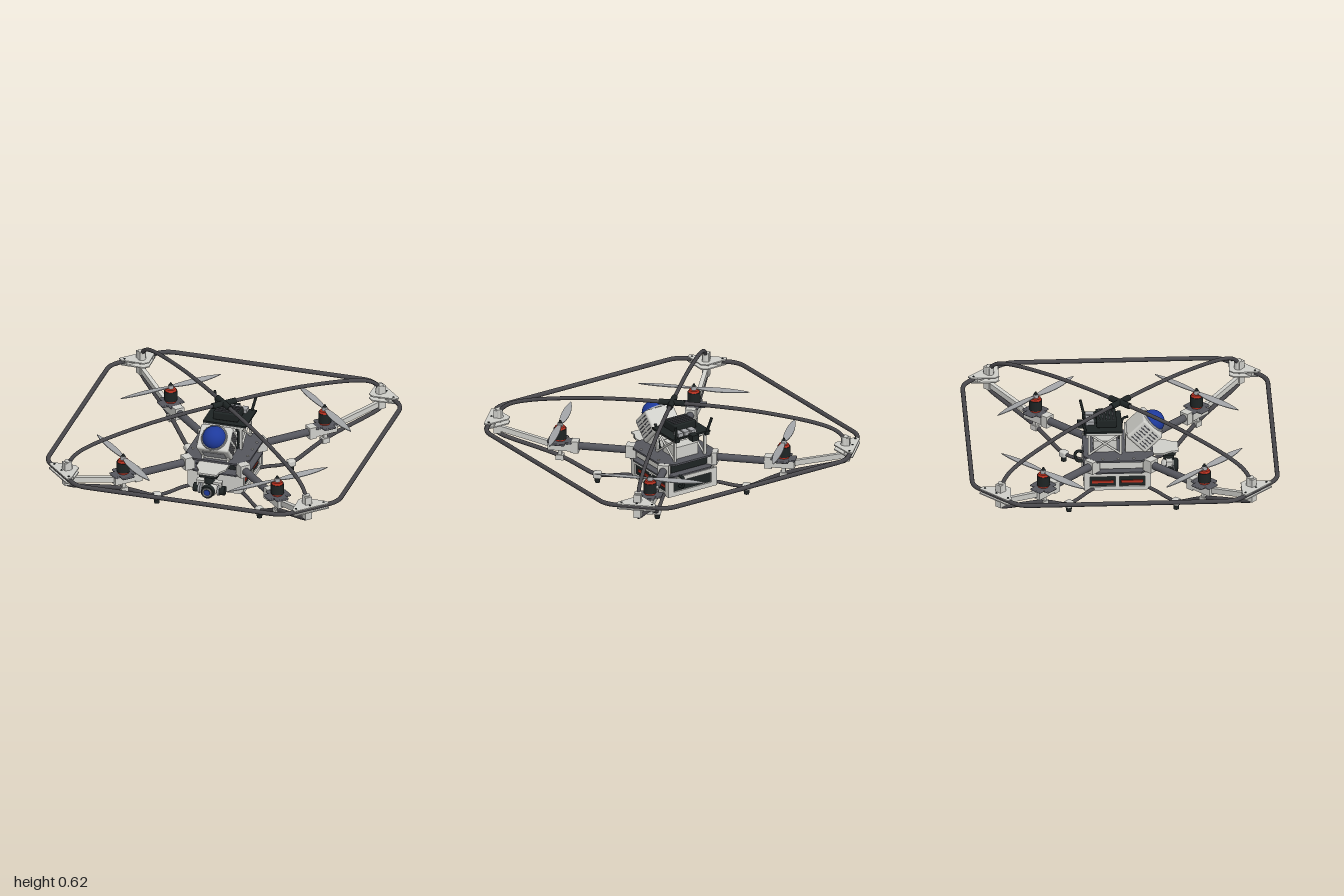
import * as THREE from 'three';
import { RoundedBoxGeometry } from 'three/addons/geometries/RoundedBoxGeometry.js';

const mat = (name, color) => new THREE.MeshStandardMaterial({ name, color });
const light = mat('lightGrey', 0xcfcfca);
const tubeGrey = mat('tubeGrey', 0x48474b);
const plateGrey = mat('plateGrey', 0x55565d);
const black = mat('black', 0x1e2424);
const blue = mat('blue', 0x1e3a9c);
const red = mat('red', 0xb5301f);
const silver = mat('silver', 0xa3a5a8);
silver.side = THREE.DoubleSide;

const V = (x, y, z = 0) => new THREE.Vector3(x, y, z);
function put(parent, name, geo, material, x = 0, y = 0, z = 0) {
  const m = new THREE.Mesh(geo, material);
  m.name = name;
  m.position.set(x, y, z);
  parent.add(m);
  return m;
}
const box = (p, name, m, w, h, d, x, y, z) => put(p, name, new THREE.BoxGeometry(w, h, d), m, x, y, z);
const cyl = (p, name, m, r1, r2, h, x, y, z, n = 24) => put(p, name, new THREE.CylinderGeometry(r1, r2, h, n), m, x, y, z);
// Straight round bar between two points
function rod(p, name, m, a, b, r) {
  const c = cyl(p, name, m, r, r, a.distanceTo(b), 0, 0, 0, 14);
  c.position.copy(a).add(b).multiplyScalar(0.5);
  c.quaternion.setFromUnitVectors(V(0, 1), b.clone().sub(a).normalize());
  return c;
}
function tube(p, name, m, pts, r, n = 40) {
  return put(p, name, new THREE.TubeGeometry(new THREE.CatmullRomCurve3(pts, false, 'centripetal'), n, r, 10), m);
}
const poly = pts => new THREE.Shape(pts.map(([x, y]) => new THREE.Vector2(x, y)));
const extrude = (shape, depth) => new THREE.ExtrudeGeometry(shape, { depth, bevelEnabled: false, curveSegments: 16 });
// Flat plate lying in the xz plane, growing upwards
const slab = (pts, h) => extrude(poly(pts), h).rotateX(-Math.PI / 2);
// Rectangular panel with rectangular holes [x, y, w, h]
function panel(w, h, t, holes) {
  const rect = (x, y, a, b) => [[x - a / 2, y - b / 2], [x + a / 2, y - b / 2], [x + a / 2, y + b / 2], [x - a / 2, y + b / 2]];
  const s = poly(rect(0, 0, w, h));
  holes.forEach(q => s.holes.push(poly(rect(...q))));
  return extrude(s, t).translate(0, 0, -t / 2);
}

// Square guard ring with cut corners
function guardRing(model) {
  const path = new THREE.CurvePath(), y = 0.385, e = 0.985;
  const quarter = [[-0.63, e], [0.63, e], [0.695, e], [0.74, 0.94], [0.94, 0.74], [e, 0.695], [e, 0.63]];
  for (let k = 0; k < 4; k++) {
    const q = quarter.map(([x, z]) => V(x, y, z).applyAxisAngle(V(0, 1), k * Math.PI / 2));
    for (const v of q) v.y = y;
    path.add(new THREE.LineCurve3(q[0], q[1]));
    path.add(new THREE.QuadraticBezierCurve3(q[1], q[2], q[3]));
    path.add(new THREE.LineCurve3(q[3], q[4]));
    path.add(new THREE.QuadraticBezierCurve3(q[4], q[5], q[6]));
  }
  put(model, 'guardRing', new THREE.TubeGeometry(path, 240, 0.015, 10, true), tubeGrey);
}

function propeller(parent, x, y) {
  const g = new THREE.Group();
  g.name = 'propeller';
  g.position.set(x, y, 0);
  parent.add(g);
  const s = new THREE.Shape();
  s.moveTo(0.02, -0.012);
  s.bezierCurveTo(0.12, -0.04, 0.26, -0.036, 0.365, 0);
  s.bezierCurveTo(0.28, 0.026, 0.14, 0.032, 0.02, 0.012);
  for (let k = 0; k < 2; k++) {
    const blade = put(g, 'blade', extrude(s, 0.005).rotateX(-Math.PI / 2 + 0.12), silver);
    blade.rotation.y = Math.PI / 2 + k * Math.PI;
  }
  cyl(g, 'propellerHub', silver, 0.016, 0.02, 0.022, 0, 0.004, 0);
  cyl(g, 'hubNut', black, 0.006, 0.012, 0.018, 0, 0.022, 0, 12);
}

// One diagonal quarter; local +x points out towards the corner
function armAssembly(k) {
  const g = new THREE.Group();
  g.name = 'arm';
  g.rotation.y = Math.PI / 4 + k * Math.PI / 2;
  rod(g, 'armTube', plateGrey, V(0.1, 0.245), V(0.68, 0.245), 0.025);
  box(g, 'bodyClamp', light, 0.07, 0.085, 0.07, 0.265, 0.243, 0);
  // Motor mount and motor
  box(g, 'armClamp', light, 0.05, 0.08, 0.065, 0.635, 0.243, 0);
  box(g, 'motorMount', light, 0.15, 0.05, 0.07, 0.735, 0.24, 0);
  for (const r of [0, Math.PI / 2]) {
    const b = put(g, 'motorBase', new RoundedBoxGeometry(0.16, 0.014, 0.085, 2, 0.006), plateGrey, 0.735, 0.272, 0);
    b.rotation.y = r;
  }
  cyl(g, 'motorLowerRing', red, 0.035, 0.035, 0.014, 0.735, 0.285, 0);
  cyl(g, 'motor', black, 0.042, 0.042, 0.068, 0.735, 0.325, 0);
  cyl(g, 'motorUpperRing', red, 0.032, 0.038, 0.014, 0.735, 0.366, 0);
  propeller(g, 0.735, 0.383);
  // Strut from mount to leg tube
  box(g, 'legStrut', light, 0.025, 0.07, 0.03, 0.735, 0.19, 0);
  box(g, 'legClamp', light, 0.05, 0.035, 0.045, 0.735, 0.16, 0);
  // Outer bar and corner bracket
  const bar = box(g, 'outerBar', light, 0.36, 0.036, 0.028, 0.965, 0.287, 0);
  bar.rotation.z = 0.24;
  box(g, 'cornerPost', light, 0.05, 0.16, 0.045, 1.145, 0.375, 0);
  cyl(g, 'archSocket', light, 0.024, 0.026, 0.06, 1.135, 0.432, 0);
  const outline = [[1.07, -0.02], [1.18, -0.125], [1.212, -0.125], [1.212, 0.125], [1.18, 0.125], [1.07, 0.02]];
  for (const y of [0.366, 0.396]) put(g, 'cornerPlate', slab(outline, 0.008), light, 0, y, 0);
  box(g, 'cornerSpacer', light, 0.03, 0.024, 0.2, 1.165, 0.385, 0);
  for (const z of [-0.1, 0, 0.1]) cyl(g, 'cornerBolt', black, 0.007, 0.007, 0.006, 1.185, 0.405, z, 8);
  // Leg tube, foot and inner stay
  tube(g, 'legTube', tubeGrey, [V(1.16, 0.31), V(1.13, 0.287), V(0.735, 0.165), V(0.53, 0.065), V(0.49, 0.052)], 0.014);
  tube(g, 'innerStay', tubeGrey, [V(0.49, 0.05), V(0.4, 0.055), V(0.31, 0.068), V(0.23, 0.07)], 0.012, 20);
  put(g, 'footJoint', new RoundedBoxGeometry(0.055, 0.045, 0.05, 2, 0.012), light, 0.49, 0.052, 0);
  cyl(g, 'footPad', black, 0.02, 0.017, 0.034, 0.49, 0.017, 0, 16);
  // Half of the overhead arch
  tube(g, 'archTube', tubeGrey,
    [V(1.135, 0.41), V(1.12, 0.46), V(1.07, 0.5), V(0.95, 0.537), V(0.6, 0.583), V(0.3, 0.599), V(0, 0.603)], 0.013, 60);
  rod(g, 'archHub', black, V(0, 0.602), V(0.085, 0.602), 0.02);
  return g;
}

function body(model) {
  const g = new THREE.Group();
  g.name = 'body';
  model.add(g);
  const zc = -0.025;
  // Battery bay: panels with windows around dark packs
  box(g, 'batteryPack', black, 0.33, 0.1, 0.4, 0, 0.125, zc);
  for (const s of [-1, 1]) {
    const side = put(g, 'sidePanel', panel(0.43, 0.125, 0.012, [[-0.095, -0.003, 0.165, 0.072], [0.095, -0.003, 0.165, 0.072]]), light, s * 0.183, 0.127, zc);
    side.rotation.y = Math.PI / 2;
    for (const z of [-0.095, 0.095]) box(g, 'batteryStripe', red, 0.008, 0.016, 0.14, s * 0.168, 0.113, zc + z);
    box(g, 'deckSide', light, 0.012, 0.055, 0.38, s * 0.17, 0.238, zc);
  }
  put(g, 'frontPanel', panel(0.366, 0.125, 0.012, []), light, 0, 0.127, 0.185);
  put(g, 'backPanel', panel(0.366, 0.125, 0.012, [[0, 0, 0.29, 0.07]]), light, 0, 0.127, -0.234);
  const bottom = put(g, 'bottomPanel', panel(0.378, 0.43, 0.012, [[0, -0.1, 0.29, 0.16], [0, 0.1, 0.29, 0.16]]), light, 0, 0.068, zc);
  bottom.rotation.x = Math.PI / 2;
  // Central deck
  const deck = [[-0.215, -0.13], [-0.14, -0.21], [0.14, -0.21], [0.215, -0.13], [0.215, 0.16], [0.14, 0.24], [-0.14, 0.24], [-0.215, 0.16]];
  put(g, 'lowerDeck', slab(deck, 0.01), plateGrey, 0, 0.193, 0);
  put(g, 'upperDeck', slab(deck, 0.012), plateGrey, 0, 0.274, 0);
  box(g, 'deckElectronics', black, 0.28, 0.06, 0.34, 0, 0.238, zc);
  for (const s of [-1, 1]) for (const z of [-0.12, -0.02, 0.08])
    cyl(g, 'deckBolt', light, 0.008, 0.008, 0.006, s * 0.185, 0.288, z, 8);
  // Cable loop at the back
  tube(g, 'rearCable', black, [V(0.1, 0.195, -0.23), V(0.1, 0.195, -0.275), V(0.1, 0.17, -0.285), V(0.1, 0.13, -0.27), V(0.1, 0.125, -0.235)], 0.01, 24);
}

function electronicsTower(model) {
  const g = new THREE.Group();
  g.name = 'electronicsTower';
  model.add(g);
  const y0 = 0.287, y1 = 0.435, zf = 0, zb = -0.205;
  for (const s of [-1, 1]) {
    const x = s * 0.115;
    for (const z of [zf, zb]) box(g, 'towerPost', light, 0.016, y1 - y0, 0.016, x, (y0 + y1) / 2, z);
    rod(g, 'towerBrace', light, V(x, y0, zf), V(x, y1, zb), 0.007);
    rod(g, 'towerBrace', light, V(x, y1, zf), V(x, y0, zb), 0.007);
    rod(g, 'antenna', black, V(s * 0.115, 0.44, -0.225), V(s * 0.14, 0.55, -0.25), 0.009);
    box(g, 'antennaBase', black, 0.03, 0.025, 0.04, s * 0.115, 0.445, -0.22);
  }
  box(g, 'lowerModule', light, 0.17, 0.08, 0.15, 0, 0.327, -0.1);
  box(g, 'towerShelf', light, 0.27, 0.016, 0.235, 0, 0.44, -0.105);
  box(g, 'controlBoard', black, 0.29, 0.012, 0.245, 0.005, 0.454, -0.112);
  put(g, 'controlUnit', new RoundedBoxGeometry(0.17, 0.055, 0.13, 2, 0.008), black, 0, 0.488, -0.09);
  for (let i = 0; i < 5; i++) box(g, 'coolingFin', plateGrey, 0.15, 0.006, 0.008, 0, 0.518, -0.135 + i * 0.022);
  for (let i = 0; i < 3; i++) box(g, 'connector', silver, 0.04, 0.025, 0.055, -0.02 + i * 0.05, 0.472, -0.195);
  box(g, 'rearSocket', black, 0.05, 0.04, 0.05, 0, 0.45, -0.25);
}

function sensorPod(model) {
  const g = new THREE.Group();
  g.name = 'sensorPod';
  g.position.set(0, 0.4, 0.155);
  g.rotation.x = Math.PI / 4;
  model.add(g);
  put(g, 'podHousing', new RoundedBoxGeometry(0.215, 0.165, 0.172, 2, 0.014), light);
  cyl(g, 'domeCollar', silver, 0.083, 0.088, 0.012, 0, 0.086, 0, 40);
  put(g, 'blueDome', new THREE.SphereGeometry(0.078, 40, 24), blue, 0, 0.078, 0);
  box(g, 'frontCover', silver, 0.15, 0.09, 0.006, 0, -0.01, 0.087);
  // Cooling slots on both sides
  for (const s of [-1, 1]) for (let i = 0; i < 6; i++) for (const z of [-0.036, 0.036])
    box(g, 'coolingSlot', plateGrey, 0.004, 0.007, 0.055, s * 0.108, -0.055 + i * 0.022, z);
  for (const s of [-1, 1])
    put(model, 'podBracket', extrude(poly([[-0.2, 0], [-0.03, 0], [-0.03, 0.12], [-0.1, 0.14]]), 0.012).rotateY(Math.PI / 2), light, s * 0.085 - 0.006, 0.286, 0);
  box(model, 'podBase', light, 0.18, 0.05, 0.14, 0, 0.31, 0.11);
  tube(model, 'podCable', black, [V(0.09, 0.45, 0.06), V(0.1, 0.43, 0.025), V(0.1, 0.36, 0.01), V(0.09, 0.29, 0.0)], 0.008, 24);
}

function gimbalCamera(model) {
  const shelf = [[-0.1, -0.18], [0.1, -0.18], [0.1, -0.28], [0.07, -0.33], [0.065, -0.375], [-0.065, -0.375], [-0.07, -0.33], [-0.1, -0.28]];
  put(model, 'cameraShelf', slab(shelf.reverse(), 0.012), light, 0, 0.262, 0);
  const g = new THREE.Group();
  g.name = 'gimbalCamera';
  g.position.set(0, 0.138, 0.315);
  model.add(g);
  box(g, 'gimbalMount', black, 0.12, 0.022, 0.08, 0, 0.108, 0);
  cyl(g, 'gimbalPivot', black, 0.03, 0.035, 0.05, 0, 0.075, 0);
  box(g, 'gimbalYoke', light, 0.17, 0.016, 0.04, 0, 0.055, 0);
  put(g, 'cameraBall', new THREE.SphereGeometry(0.052, 28, 20), light);
  for (const s of [-1, 1]) {
    box(g, 'yokeArm', light, 0.014, 0.07, 0.035, s * 0.075, 0.025, 0);
    cyl(g, 'tiltMotor', black, 0.03, 0.03, 0.035, s * 0.088, 0, 0).rotation.z = Math.PI / 2;
    cyl(g, 'tiltRing', silver, 0.036, 0.036, 0.012, s * 0.064, 0, 0).rotation.z = Math.PI / 2;
  }
  cyl(g, 'lensBarrel', black, 0.042, 0.046, 0.03, 0, 0, 0.043).rotation.x = Math.PI / 2;
  put(g, 'lensRing', new THREE.TorusGeometry(0.027, 0.005, 8, 28), silver, 0, 0, 0.058);
  cyl(g, 'lensGlass', blue, 0.02, 0.02, 0.006, 0, 0, 0.06).rotation.x = Math.PI / 2;
}

export function createModel() {
  const model = new THREE.Group();
  model.name = 'cagedQuadcopter';
  guardRing(model);
  for (let k = 0; k < 4; k++) model.add(armAssembly(k));
  body(model);
  electronicsTower(model);
  sensorPod(model);
  gimbalCamera(model);
  return model;
}
